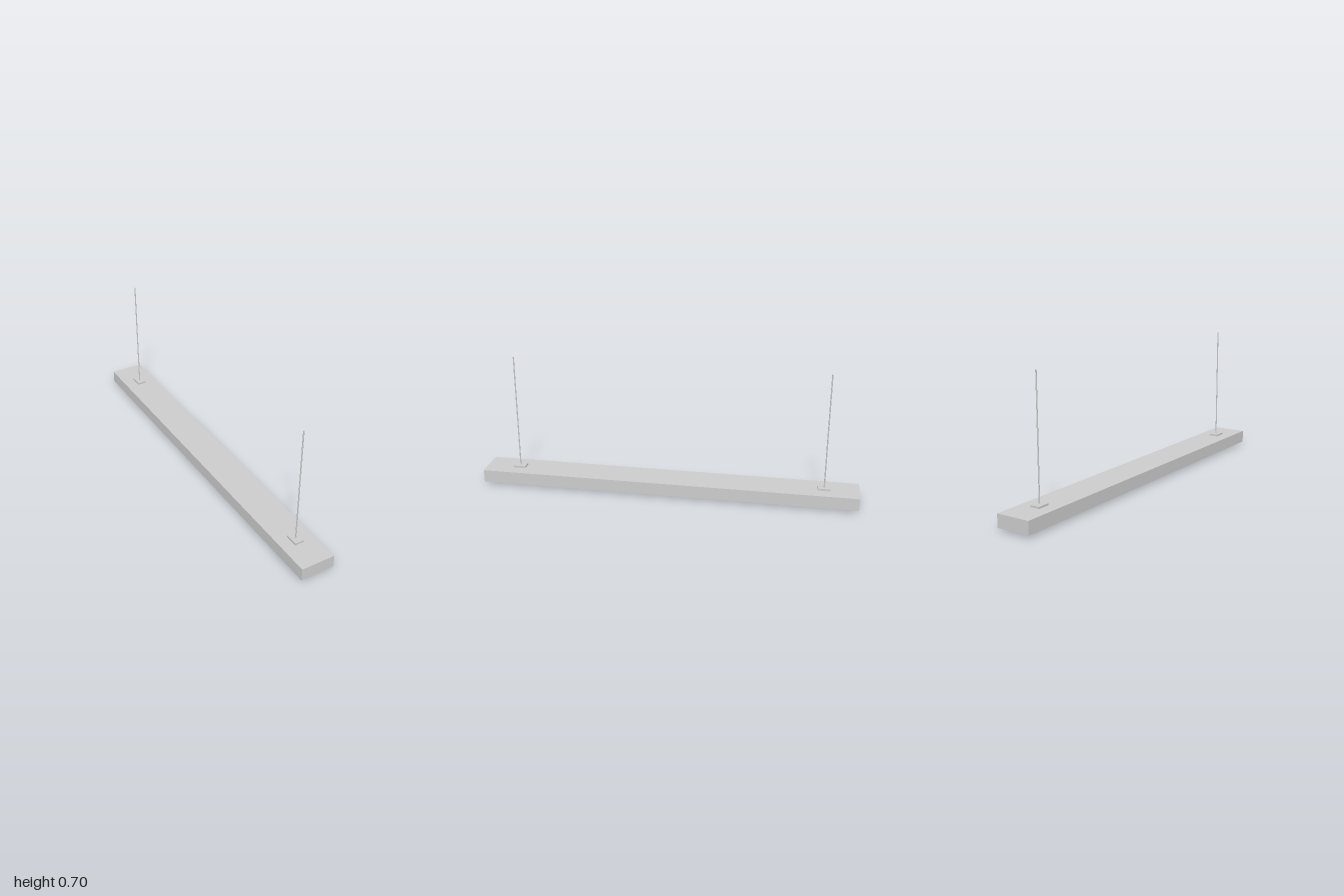
import * as THREE from 'three';

export function createModel() {
  const group = new THREE.Group();
  const material = new THREE.MeshStandardMaterial({ color: 0xcccccc });
  const add = (name, geometry, x, y, z) => {
    const mesh = new THREE.Mesh(geometry, material);
    mesh.name = name;
    mesh.position.set(x, y, z);
    group.add(mesh);
    return mesh;
  };
  const rect = (path, w, h) => path.moveTo(-w, -h).lineTo(w, -h).lineTo(w, h).lineTo(-w, h).closePath();

  // Housing: a rectangular rim open underneath, closed by a top plate
  const bottom = 0.013, ceiling = 0.057, top = 0.08;
  const rim = rect(new THREE.Shape(), 0.09, 1);
  rim.holes.push(rect(new THREE.Path(), 0.07, 0.975));
  const rimGeometry = new THREE.ExtrudeGeometry(rim, { depth: ceiling - bottom, bevelEnabled: false });
  rimGeometry.rotateX(-Math.PI / 2);
  add('housingRim', rimGeometry, 0, bottom, 0);
  add('housingTop', new THREE.BoxGeometry(0.18, top - ceiling, 2), 0, (top + ceiling) / 2, 0);

  // Two eight-sided lamp tubes with a flat side facing down
  const tubeRadius = 0.0288, apothem = tubeRadius * Math.cos(Math.PI / 8);
  for (const side of [-1, 1]) {
    const tube = new THREE.CylinderGeometry(tubeRadius, tubeRadius, 1.915, 8);
    tube.rotateY(Math.PI / 8).rotateX(Math.PI / 2);
    add(side > 0 ? 'leftTube' : 'rightTube', tube, side * 0.035, apothem, 0.0075);
  }

  // Mounting plates and suspension rods near each end
  for (const end of [-1, 1]) {
    const label = end > 0 ? 'front' : 'back';
    add(label + 'MountPlate', new THREE.BoxGeometry(0.05, 0.01, 0.066), 0, top + 0.005, end * 0.82);
    add(label + 'Rod', new THREE.CylinderGeometry(0.0033, 0.0033, 0.615, 8), 0, 0.703 - 0.3075, end * 0.82);
  }
  return group;
}
